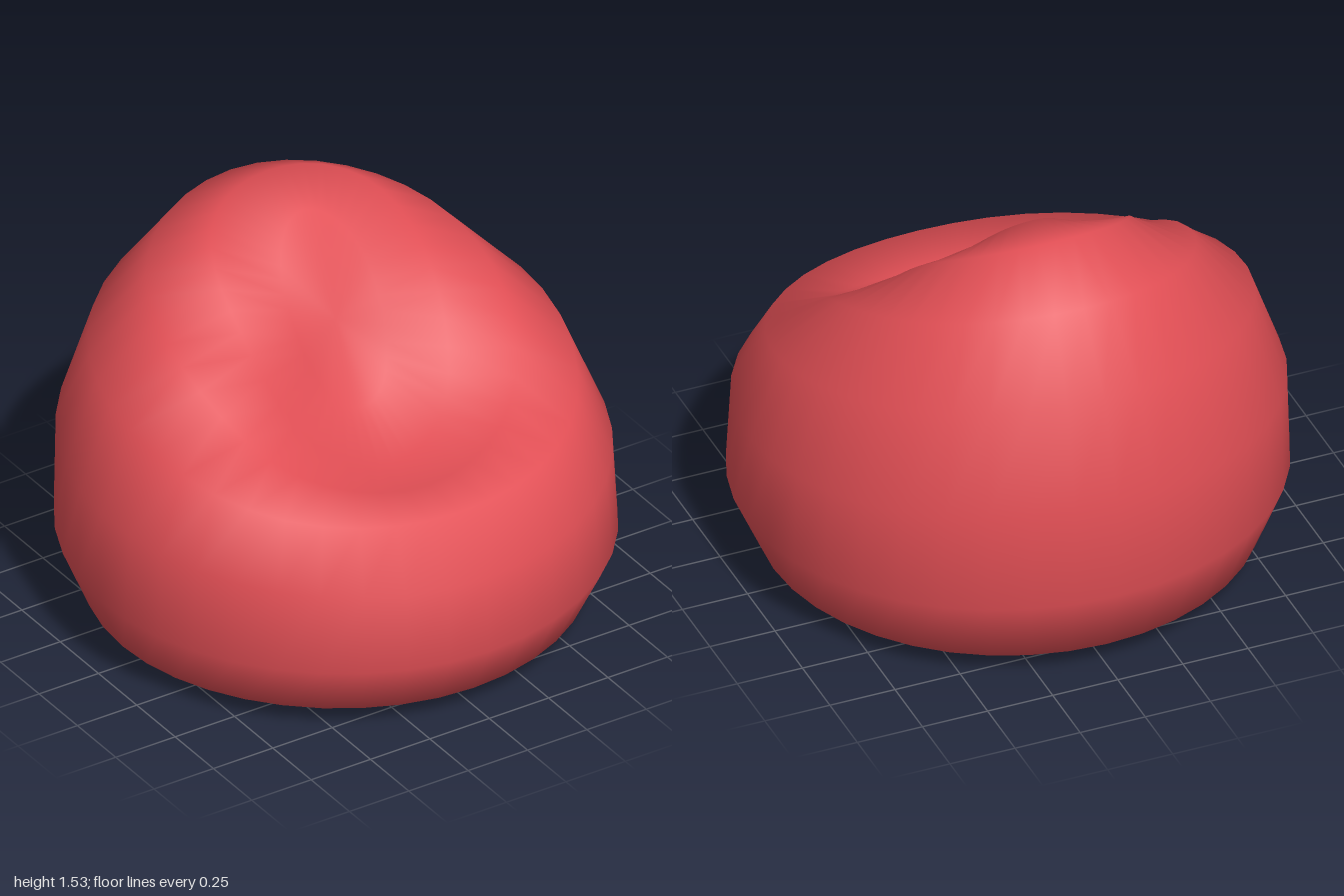
import * as THREE from 'three';

// Half sections (radius, height) from the floor edge up over the rim and down into the seat
const SECTIONS = [
  [[0.67, 0], [0.9, 0.075], [1, 0.28], [0.975, 0.57], [0.82, 0.77], [0.6, 0.765], [0.38, 0.74], [0.18, 0.87]],   // front
  [[0.67, 0], [0.9, 0.08], [1, 0.29], [0.98, 0.6], [0.85, 0.82], [0.63, 0.87], [0.4, 0.87], [0.18, 0.95]],       // front corner
  [[0.67, 0], [0.9, 0.08], [1, 0.31], [0.985, 0.66], [0.87, 0.97], [0.65, 1.16], [0.4, 1.22], [0.18, 1.18]],     // side
  [[0.67, 0], [0.9, 0.085], [1, 0.34], [0.995, 0.72], [0.88, 1.08], [0.68, 1.33], [0.45, 1.46], [0.2, 1.39]],    // back corner
  [[0.67, 0], [0.9, 0.09], [1, 0.36], [1, 0.76], [0.88, 1.13], [0.69, 1.4], [0.44, 1.53], [0.22, 1.48]],         // back
];
const SEGMENTS = 40;
const SEAT_CENTRE = 1.14;

// Smooth closed blend of one section value around the bag, mirrored left to right
function blend(turn, ring, k) {
  const at = (i) => {
    const m = ((i % 8) + 8) % 8;
    return SECTIONS[m > 4 ? 8 - m : m][ring][k];
  };
  const i = Math.floor(turn), f = turn - i;
  const p0 = at(i - 1), p1 = at(i), p2 = at(i + 1), p3 = at(i + 2);
  return p1 + 0.5 * f * (p2 - p0 + f * (2 * p0 - 5 * p1 + 4 * p2 - p3 + f * (3 * (p1 - p2) + p3 - p0)));
}

function bagGeometry() {
  const rings = SECTIONS[0].length;
  const positions = [], index = [];
  for (let r = 0; r < rings; r++) {
    for (let s = 0; s < SEGMENTS; s++) {
      const a = (s / SEGMENTS) * Math.PI * 2;
      const turn = (s / SEGMENTS) * 8;
      const radius = blend(turn, r, 0);
      positions.push(Math.sin(a) * radius, blend(turn, r, 1), Math.cos(a) * radius);
    }
  }
  const bottom = rings * SEGMENTS, top = bottom + 1;
  positions.push(0, 0, 0, 0, SEAT_CENTRE, 0);

  for (let s = 0; s < SEGMENTS; s++) {
    const n = (s + 1) % SEGMENTS;
    for (let r = 0; r < rings - 1; r++) {
      const lo = r * SEGMENTS, hi = lo + SEGMENTS;
      index.push(lo + s, lo + n, hi + n, lo + s, hi + n, hi + s);
    }
    const last = (rings - 1) * SEGMENTS;
    index.push(bottom, n, s, top, last + s, last + n);
  }

  const geometry = new THREE.BufferGeometry();
  geometry.setAttribute('position', new THREE.Float32BufferAttribute(positions, 3));
  geometry.setIndex(index);
  geometry.computeVertexNormals();
  return geometry;
}

export function createModel() {
  const group = new THREE.Group();
  group.name = 'beanBagChair';

  const redFabric = new THREE.MeshStandardMaterial({ color: 0xe04e54 });
  redFabric.name = 'redFabric';

  const bag = new THREE.Mesh(bagGeometry(), redFabric);
  bag.name = 'bag';
  group.add(bag);
  return group;
}
